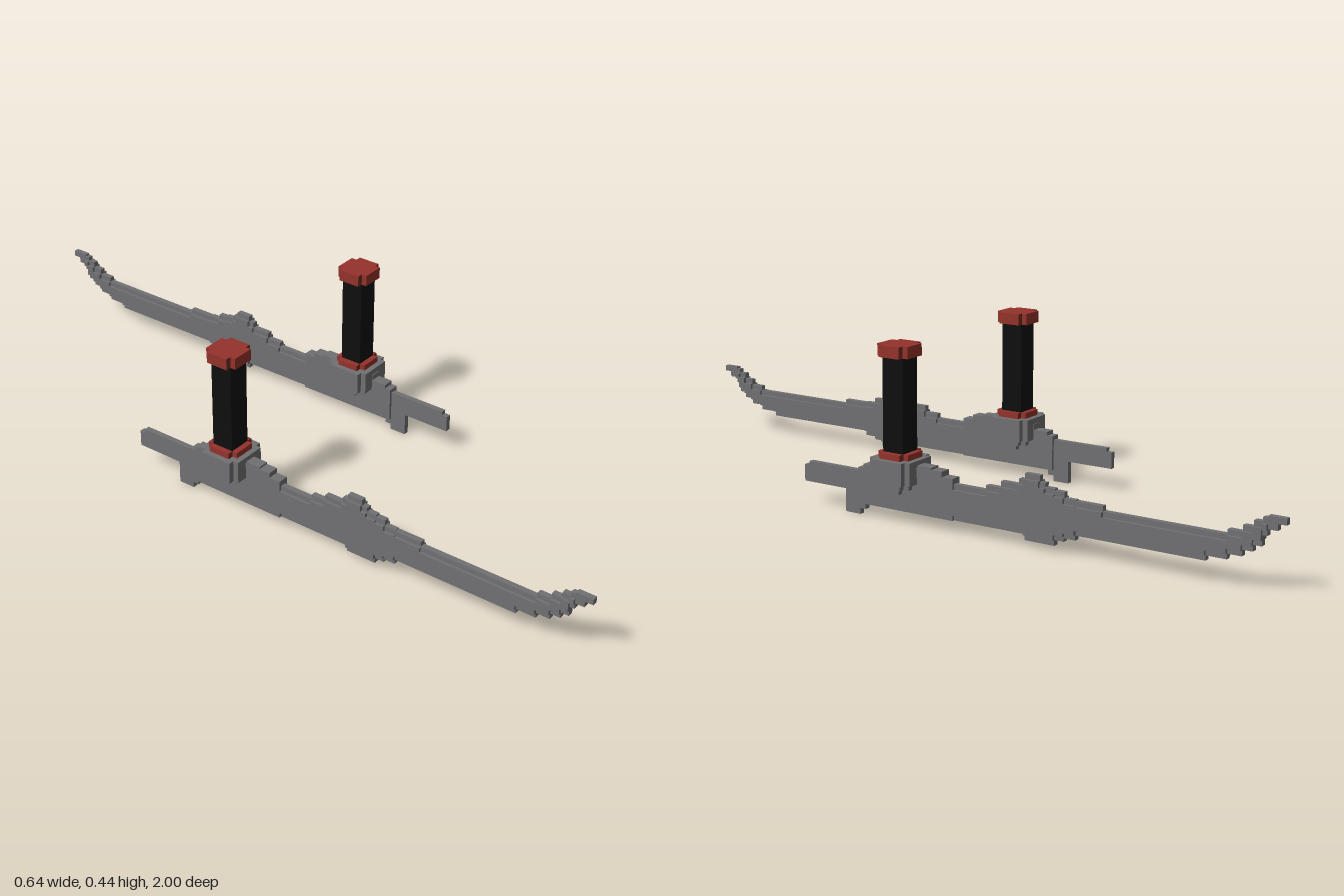
import * as THREE from 'three';

const V = 0.0145; // size of one block

// blade outline as stepped columns: [start along blade, bottom, top]
const COLUMNS = [
  [-0.287, 0.058, 0.1], [-0.272, 0.058, 0.11], [-0.16, 0, 0.11], [-0.116, 0.015, 0.12],
  [-0.1, 0.03, 0.13], [-0.06, 0.03, 0.145], [0.06, 0.03, 0.15], [0.1, 0.03, 0.145],
  [0.13, 0.03, 0.132], [0.16, 0.03, 0.118], [0.25, 0.03, 0.13], [0.29, 0.03, 0.146],
  [0.34, 0.03, 0.16], [0.355, 0.016, 0.175], [0.395, 0.016, 0.16], [0.41, 0.016, 0.15],
  [0.435, 0.03, 0.146], [0.46, 0.038, 0.132], [0.49, 0.05, 0.13], [0.56, 0.05, 0.118],
  [0.815, 0.062, 0.118], [0.865, 0.075, 0.13], [0.9, 0.09, 0.145], [0.925, 0.105, 0.16],
  [0.945, 0.13, 0.17], [0.957, 0.145, 0.175], [0.98, 0.16, 0.175],
];

// stepped silhouette pushed out to a thickness, running along +z
function steppedBlade(columns, end, thickness) {
  const lower = [], upper = [];
  columns.forEach(([u, bottom, top], i) => {
    const next = i + 1 < columns.length ? columns[i + 1][0] : end;
    lower.push(new THREE.Vector2(u, bottom), new THREE.Vector2(next, bottom));
    upper.push(new THREE.Vector2(u, top), new THREE.Vector2(next, top));
  });
  // drop repeated points where neighbouring columns are level
  const points = [...lower, ...upper.reverse()].filter((p, i, all) => i === 0 || !p.equals(all[i - 1]));
  const geometry = new THREE.ExtrudeGeometry(new THREE.Shape(points), { depth: thickness, bevelEnabled: false });
  return geometry.translate(0, 0, -thickness / 2).rotateY(-Math.PI / 2);
}

// square block plate with its corners notched out, sizes in blocks
function notchedPlate(size, cut, y0, y1) {
  const h = size * V / 2, c = h - cut * V;
  const shape = new THREE.Shape([
    [c, -h], [c, -c], [h, -c], [h, c], [c, c], [c, h],
    [-c, h], [-c, c], [-h, c], [-h, -c], [-c, -c], [-c, -h],
  ].map(([x, y]) => new THREE.Vector2(x, y)));
  const geometry = new THREE.ExtrudeGeometry(shape, { depth: y1 - y0, bevelEnabled: false });
  return geometry.rotateX(-Math.PI / 2).translate(0, y0, 0);
}

export function createModel() {
  const steel = new THREE.MeshStandardMaterial({ color: 0x717173 });
  const red = new THREE.MeshStandardMaterial({ color: 0x94322b });
  const darkRed = new THREE.MeshStandardMaterial({ color: 0x6e2c20 });
  const black = new THREE.MeshStandardMaterial({ color: 0x0e0e0e });
  steel.name = 'steel';
  red.name = 'red';
  darkRed.name = 'dark red';
  black.name = 'black wrap';

  function add(parent, name, geometry, material) {
    const mesh = new THREE.Mesh(geometry, material);
    mesh.name = name;
    parent.add(mesh);
    return mesh;
  }

  // red fitting with darker corner faces
  function fitting(parent, name, y0, y1) {
    add(parent, name, notchedPlate(6, 1, y0, y1), red);
    for (const sx of [-1, 1]) for (const sz of [-1, 1]) {
      const corner = new THREE.PlaneGeometry(V, y1 - y0);
      if (sz < 0) corner.rotateY(Math.PI);
      corner.translate(sx * 2.5 * V, (y0 + y1) / 2, sz * (2 * V + 0.0006));
      add(parent, name + 'Corner', corner, darkRed);
    }
  }

  function createWeapon(name) {
    const weapon = new THREE.Group();
    weapon.name = name;

    // thin edge along the whole blade, thicker body inside it
    add(weapon, 'bladeEdge', steppedBlade(COLUMNS, 1, V), steel);
    const body = COLUMNS.filter(([u]) => u >= -0.12 && u < 0.95).map(([u, b, t]) =>
      u < 0.16 ? [u, Math.max(b, 0.03), t] : [u, b + V * 0.9, t - V * 0.9]);
    add(weapon, 'bladeBody', steppedBlade(body, 0.957, 2 * V), steel);

    // stepped guard under the handle
    const guard = new THREE.Group();
    guard.name = 'guard';
    weapon.add(guard);
    [[4, 0.073, 0.088], [6, 0.088, 0.103], [8, 0.103, 0.16]].forEach(([size, y0, y1]) =>
      add(guard, 'guardStep', notchedPlate(size, 1, y0, y1), steel));

    // handle with a collar and an end cap
    fitting(weapon, 'collar', 0.16, 0.175);
    const grip = new THREE.BoxGeometry(4 * V, 0.232, 4 * V);
    add(weapon, 'handle', grip.translate(0, 0.291, 0), black);
    fitting(weapon, 'cap', 0.406, 0.435);
    return weapon;
  }

  const model = new THREE.Group();
  model.name = 'twinHandleBlades';
  const right = createWeapon('rightWeapon');
  right.position.x = -0.26;
  const left = createWeapon('leftWeapon');
  left.position.x = 0.26;
  left.rotation.y = Math.PI;
  model.add(right, left);
  return model;
}
